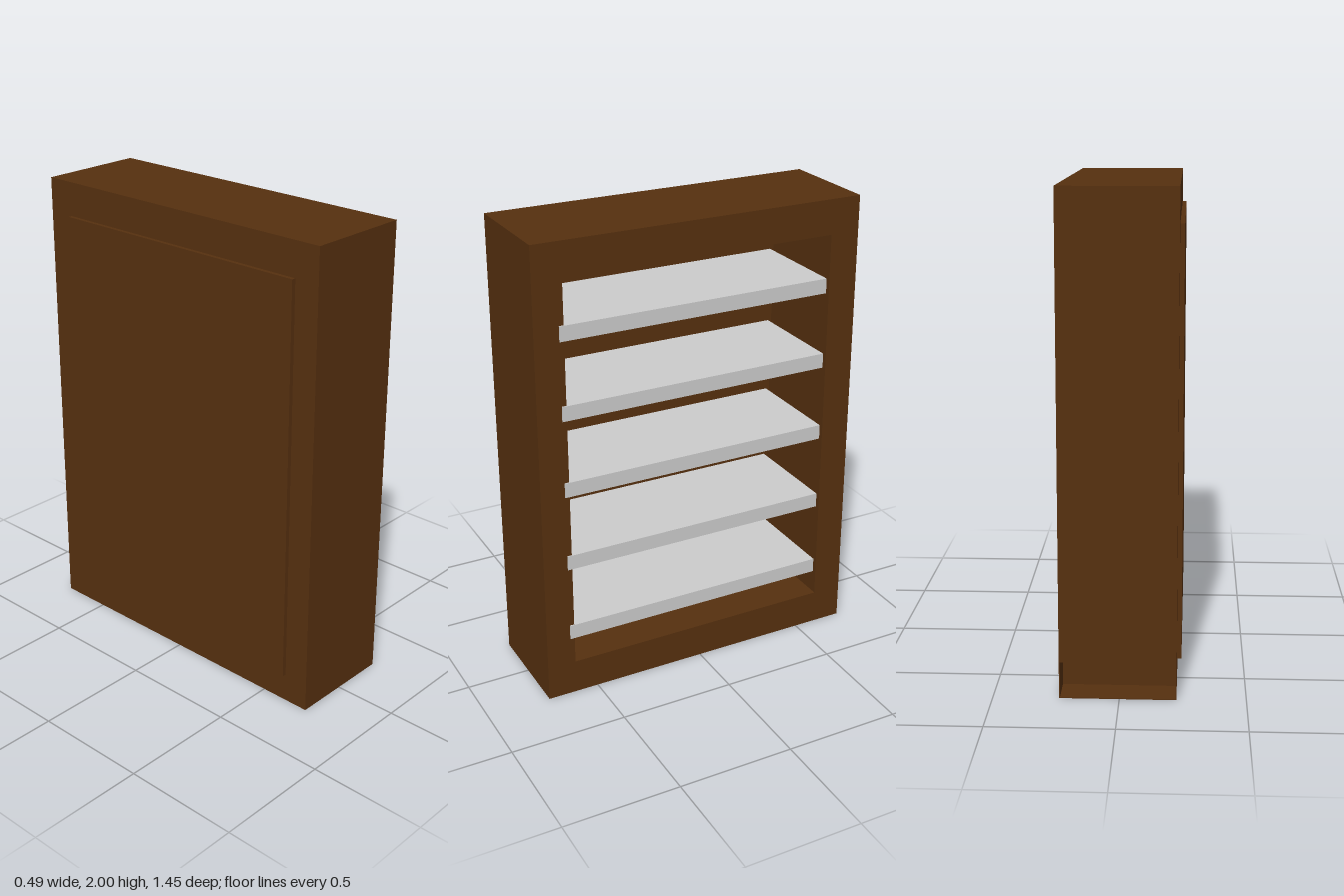
import * as THREE from 'three';

const wood = new THREE.MeshStandardMaterial({ color: 0x56300f });
const grey = new THREE.MeshStandardMaterial({ color: 0xcccccc });

export function createModel() {
  const model = new THREE.Group();

  // Box given by its min and max corners
  function box(name, material, [x0, y0, z0], [x1, y1, z1]) {
    const mesh = new THREE.Mesh(new THREE.BoxGeometry(x1 - x0, y1 - y0, z1 - z0), material);
    mesh.position.set((x0 + x1) / 2, (y0 + y1) / 2, (z0 + z1) / 2);
    mesh.name = name;
    model.add(mesh);
  }

  // Outline of [z, y] points extruded along x from x0 to x1
  function slab(name, outline, x0, x1, hole) {
    const points = (list) => list.map(([z, y]) => new THREE.Vector2(-z, y));
    const shape = new THREE.Shape(points(outline));
    if (hole) shape.holes.push(new THREE.Path(points(hole)));
    const geometry = new THREE.ExtrudeGeometry(shape, { depth: x1 - x0, bevelEnabled: false });
    geometry.rotateY(Math.PI / 2).translate(x0, 0, 0);
    const mesh = new THREE.Mesh(geometry, wood);
    mesh.name = name;
    model.add(mesh);
  }

  const X0 = -0.225, X1 = 0.238, Z = 0.725, T = 0.004;
  const zIn = 0.6, zBack = -0.595, yLow = 0.15, yHigh = 1.85;

  // Frame faces around the opening
  const rim = [[Z, 0], [-Z, 0], [-Z, 2], [Z, 2]];
  const opening = [[zIn, yLow], [zBack, yLow], [zBack, yHigh], [zIn, yHigh]];
  slab('openSideFace', rim, X1 - T, X1, opening);
  slab('panelSideFace', rim, X0, X0 + T, opening);

  // Solid front post with top and bottom rails
  slab('frameCore', [[Z, 0], [zBack, 0], [zBack, yLow], [zIn, yLow],
    [zIn, yHigh], [-Z, yHigh], [-Z, 2], [Z, 2]], X0 + T, X1 - T);

  // Hollow back post, open at its foot
  box('backPostOuterWall', wood, [X0 + T, yLow, -Z], [X1 - T, yHigh, -Z + T]);
  box('backPostInnerWall', wood, [X0 + T, yLow, zBack - T], [X1 - T, yHigh, zBack]);
  box('backPostFloor', wood, [X0 + T, 0, -Z], [X1 - T, T, zBack]);

  // Closing panel, standing slightly proud of the frame
  box('closingPanel', wood, [-0.243, 0.125, -0.605], [-0.21, 1.855, 0.615]);

  // Shelves
  for (let i = 0; i < 5; i++) {
    const y = 0.303 + i * 0.333;
    box('shelf' + (i + 1), grey, [-0.21, y - 0.032, -0.578], [0.243, y + 0.032, 0.62]);
  }
  return model;
}
